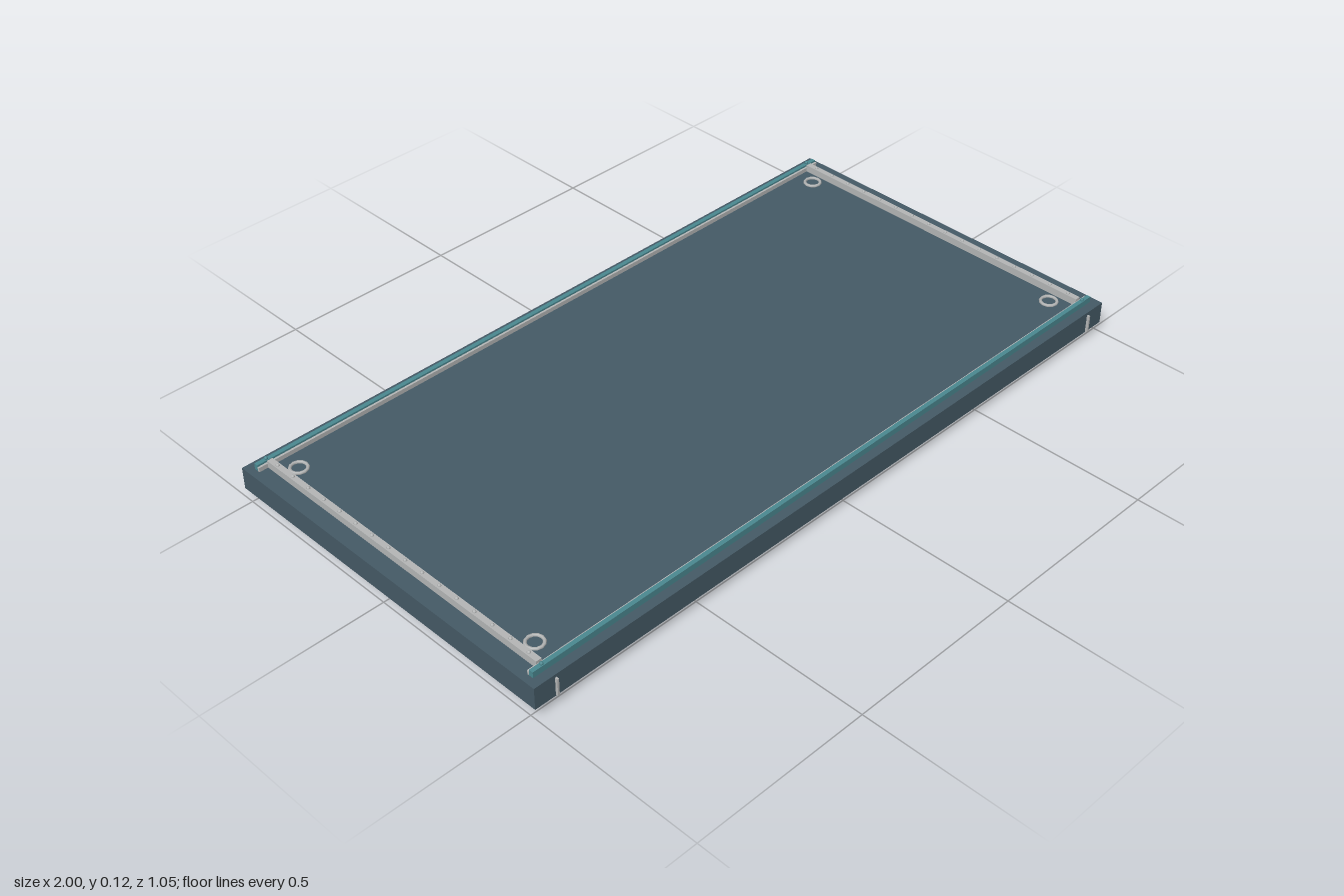
import * as THREE from 'three';

const material = (name, color) => {
  const m = new THREE.MeshStandardMaterial({ color });
  m.name = name;
  return m;
};

export function createModel() {
  const model = new THREE.Group();
  const slate = material('slate', 0x455a66);
  const footGrey = material('foot grey', 0x70858d);
  const teal = material('teal', 0x4a8890);
  const paleGrey = material('pale grey', 0xb4b6b6);

  const add = (name, geometry, mat, x, y, z) => {
    const mesh = new THREE.Mesh(geometry, mat);
    mesh.name = name;
    mesh.position.set(x, y, z);
    model.add(mesh);
    return mesh;
  };
  const box = (name, mat, w, h, d, x, y, z) =>
    add(name, new THREE.BoxGeometry(w, h, d), mat, x, y, z);

  const midZ = -0.004; // the slab sits slightly behind the centre
  const top = 0.09;

  // Base slab
  box('slab', slate, 2, 0.062, 1.04, 0, 0.059, midZ);

  // Two rows of five feet
  for (const x of [-0.805, -0.42, 0, 0.42, 0.805])
    for (const side of [-1, 1])
      box('foot', footGrey, 0.132, 0.029, 0.075, x, 0.0145, midZ + side * 0.428);

  const stud = new THREE.SphereGeometry(0.005, 8, 6);
  for (const side of [-1, 1]) {
    // Long rail with a pale inner lip
    box('longRail', teal, 1.96, 0.017, 0.012, 0, top + 0.0085, midZ + side * 0.489);
    box('longRailLip', paleGrey, 1.96, 0.012, 0.006, 0, top + 0.006, midZ + side * 0.48);

    // Short rail with a row of studs
    box('shortRail', paleGrey, 0.016, 0.02, 0.956, side * 0.947, top + 0.01, midZ);
    for (let i = 0; i < 16; i++)
      add('railStud', stud, paleGrey, side * 0.947, 0.11, midZ + (i - 7.5) * 0.0595);

    // Front seam strip
    box('seamStrip', paleGrey, 0.005, 0.05, 0.0075, side * 0.938, 0.056, 0.5195);

    // Corner rings and rail end bolts
    for (const end of [-1, 1]) {
      const ring = add('cornerRing', new THREE.TorusGeometry(0.022, 0.0045, 6, 12),
        paleGrey, side * 0.905, top + 0.002, midZ - 0.003 + end * 0.42);
      ring.rotation.x = Math.PI / 2;
      add('cornerBolt', stud, teal, side * 0.95, 0.109, midZ + end * 0.489);
    }
  }
  return model;
}
